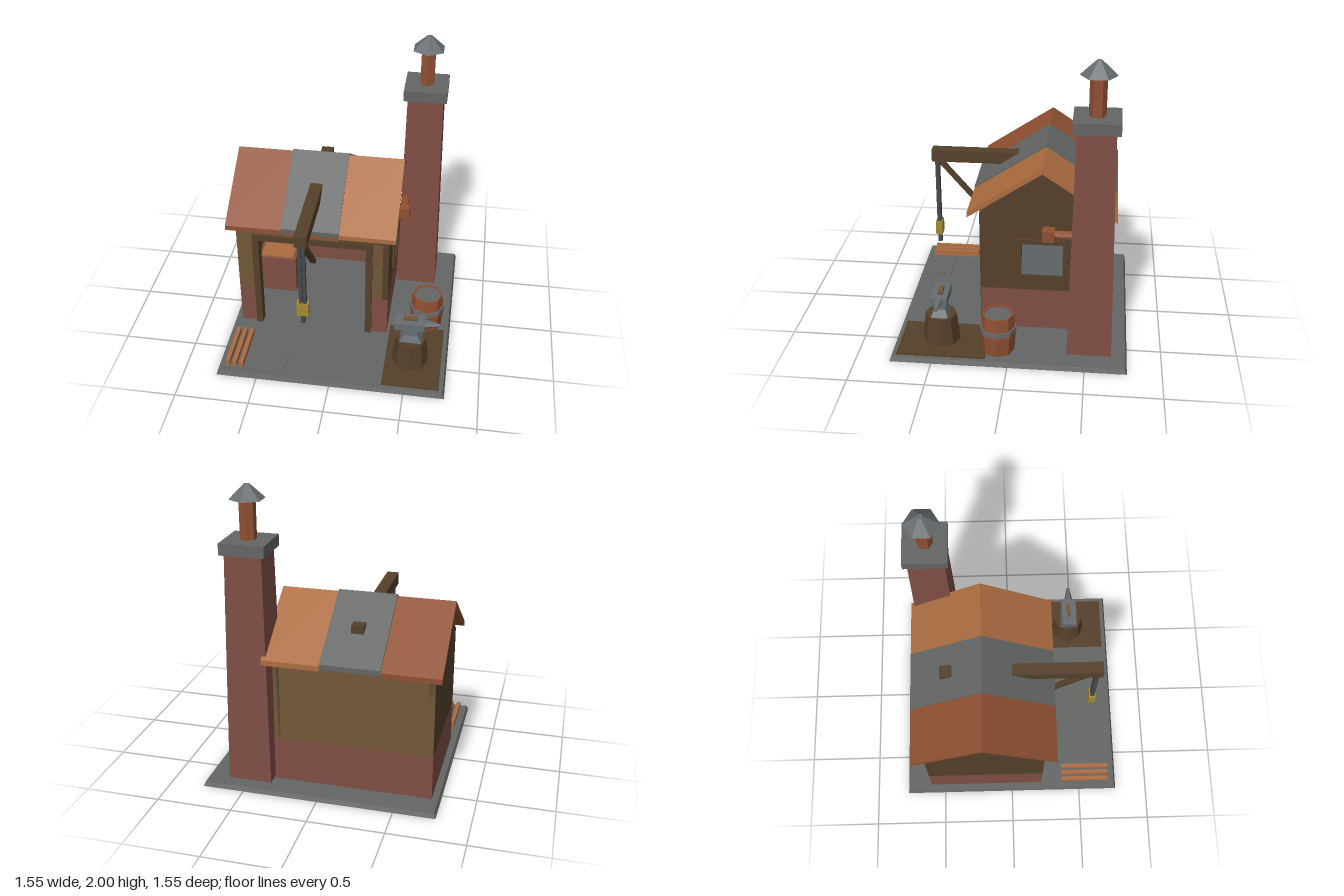
import * as THREE from 'three';

const mat = (name, color) => {
  const m = new THREE.MeshStandardMaterial({ color });
  m.name = name;
  return m;
};

export function createModel() {
  const root = new THREE.Group();
  root.name = 'smithy';
  const stone = mat('stone', 0x636664), brick = mat('brick', 0x7f4e45), plank = mat('plankWall', 0x735738),
    wood = mat('darkWood', 0x54402a), rust = mat('rust', 0x8f5032), copper = mat('copper', 0xab6c40),
    iron = mat('iron', 0x666d70), chainIron = mat('darkIron', 0x44494c), brass = mat('brass', 0xa38a33);

  const add = (name, geo, m) => {
    const mesh = new THREE.Mesh(geo, m);
    mesh.name = name;
    root.add(mesh);
    return mesh;
  };
  // box from its extents on each axis
  const box = (name, m, x0, x1, y0, y1, z0, z1) => {
    const b = add(name, new THREE.BoxGeometry(x1 - x0, y1 - y0, z1 - z0), m);
    b.position.set((x0 + x1) / 2, (y0 + y1) / 2, (z0 + z1) / 2);
    return b;
  };
  // faceted cylinder standing at x, z between y0 and y1
  const cyl = (name, m, rTop, rBottom, y0, y1, sides, x, z) => {
    const g = new THREE.CylinderGeometry(rTop, rBottom, y1 - y0, sides).toNonIndexed();
    g.computeVertexNormals();
    const c = add(name, g, m);
    c.position.set(x, (y0 + y1) / 2, z);
    return c;
  };
  // square tapered block, half sizes at the bottom and top
  const taper = (name, m, x, z, y0, y1, bx, bz, tx, tz) => {
    const g = new THREE.BoxGeometry(2, y1 - y0, 2).toNonIndexed();
    const p = g.attributes.position;
    for (let i = 0; i < p.count; i++) {
      const top = p.getY(i) > 0;
      p.setX(i, p.getX(i) * (top ? tx : bx));
      p.setZ(i, p.getZ(i) * (top ? tz : bz));
    }
    g.computeVertexNormals();
    const t = add(name, g, m);
    t.position.set(x, (y0 + y1) / 2, z);
    return t;
  };
  // profile of [z, y] points pushed along x
  const profile = (name, m, pts, x0, x1) => {
    const s = new THREE.Shape(pts.map(([z, y]) => new THREE.Vector2(-z, y)));
    const g = new THREE.ExtrudeGeometry(s, { depth: x1 - x0, bevelEnabled: false });
    g.rotateY(Math.PI / 2);
    const e = add(name, g, m);
    e.position.x = x0;
    return e;
  };

  // ground slab and mats
  taper('groundSlab', stone, 0, 0, 0, 0.03, 0.775, 0.775, 0.763, 0.763);
  box('workMat', wood, 0.35, 0.735, 0.03, 0.04, 0.15, 0.735);
  box('pavingSlab', stone, -0.74, -0.315, 0.03, 0.037, 0.54, 0.73);

  // brick footing and plank walls, open at the front
  const base = [0.03, 0.33], upper = [0.33, 0.89];
  for (const [part, m, [y0, y1]] of [['Footing', brick, base], ['Wall', plank, upper]]) {
    box('back' + part, m, -0.72, 0.33, y0, y1, -0.6, -0.56);
    box('frontLeft' + part, m, 0.2, 0.33, y0, y1, 0.18, 0.22);
    box('frontRight' + part, m, -0.72, -0.59, y0, y1, 0.18, 0.22);
  }
  box('header', plank, -0.59, 0.2, 0.78, 0.89, 0.18, 0.22);
  box('rustHeaderPatch', rust, -0.38, -0.01, 0.81, 0.89, 0.22, 0.228);
  box('woodHeaderPatch', wood, -0.01, 0.33, 0.81, 0.89, 0.22, 0.226);
  for (const [side, x0, x1] of [['right', -0.721, -0.68], ['left', 0.29, 0.331]]) {
    box(side + 'SideFooting', brick, x0, x1, 0.03, 0.33, -0.6, 0.22);
    profile(side + 'Gable', wood, [[0.22, 0.33], [-0.6, 0.33], [-0.6, 0.89], [-0.19, 1.2], [0.22, 0.89]], x0, x1);
  }

  // three patchwork roof panels
  const roof = (name, m, x0, x1, dy) => profile(name, m, [[0.3, 0.88 + dy], [0.3, 0.915 + dy], [-0.19, 1.24 + dy],
    [-0.68, 0.915 + dy], [-0.68, 0.88 + dy], [-0.19, 1.205 + dy]], x0, x1);
  roof('rustRoofPanel', rust, -0.77, -0.39, 0);
  roof('greyRoofPanel', stone, -0.39, 0, 0.013);
  roof('copperRoofPanel', copper, 0, 0.38, 0);

  // doorway frame
  box('framePostRight', wood, -0.61, -0.565, 0.03, 0.81, 0.17, 0.24);
  box('framePostLeft', wood, 0.175, 0.22, 0.03, 0.81, 0.17, 0.24);
  box('frameLintel', wood, -0.565, 0.175, 0.765, 0.81, 0.17, 0.24);

  // forge hearth inside
  box('hearth', brick, -0.67, -0.39, 0.03, 0.325, -0.37, -0.13);
  box('embers', copper, -0.65, -0.41, 0.325, 0.338, -0.35, -0.15);

  // workbench with vise, tool board with hanging tools
  box('benchTop', plank, -0.57, 0.15, 0.335, 0.38, -0.56, -0.38);
  for (const x of [-0.57, 0.115])
    for (const z of [-0.54, -0.415]) box('benchLeg', wood, x, x + 0.035, 0.03, 0.335, z, z + 0.03);
  box('vise', iron, 0, 0.11, 0.38, 0.465, -0.5, -0.42);
  box('toolBoard', wood, -0.51, 0.07, 0.47, 0.74, -0.56, -0.54);
  [[-0.43, 0.51, 0.68], [-0.275, 0.56, 0.69], [-0.14, 0.56, 0.69], [-0.005, 0.56, 0.68]].forEach(([x, y0, y1]) =>
    box('hangingTool', iron, x - 0.018, x + 0.018, y0, y1, -0.54, -0.525));

  // hoist beam, brace, chain and hook
  box('hoistBeam', wood, -0.235, -0.152, 1.035, 1.12, -0.47, 0.62);
  profile('hoistBrace', wood, [[0.595, 1.04], [0.555, 1.04], [0.18, 0.6], [0.215, 0.595]], -0.21, -0.175);
  for (const x of [-0.207, -0.181]) box('chainStrand', chainIron, x - 0.011, x + 0.011, 0.56, 1.035, 0.573, 0.6);
  box('pulleyBlock', brass, -0.235, -0.155, 0.46, 0.56, 0.563, 0.61);
  box('hook', chainIron, -0.208, -0.18, 0.39, 0.46, 0.573, 0.6);

  // chimney with cap, flue and rain hood
  taper('chimney', brick, 0.485, -0.525, 0.03, 1.58, 0.146, 0.146, 0.12, 0.12);
  box('chimneyCap', stone, 0.338, 0.63, 1.58, 1.655, -0.672, -0.38);
  cyl('flue', rust, 0.053, 0.053, 1.655, 1.91, 6, 0.485, -0.525);
  cyl('rainHood', iron, 0.018, 0.115, 1.908, 2, 6, 0.485, -0.525);

  // side pipe into the chimney
  box('pipeElbow', rust, 0.345, 0.425, 0.745, 0.82, -0.275, -0.195);
  const pipe = cyl('sidePipe', rust, 0.03, 0.03, 0, 0.14, 8, 0.385, 0);
  pipe.rotation.x = Math.PI / 2;
  pipe.position.set(0.385, 0.783, -0.335);

  // window in the left gable
  box('windowFrameTop', wood, 0.33, 0.352, 0.685, 0.716, -0.36, -0.028);
  box('windowFrameSill', wood, 0.33, 0.352, 0.42, 0.452, -0.36, -0.028);
  box('windowFrameBack', wood, 0.33, 0.352, 0.452, 0.685, -0.36, -0.33);
  box('windowFrameFront', wood, 0.33, 0.352, 0.452, 0.685, -0.057, -0.028);
  box('windowPane', iron, 0.33, 0.338, 0.452, 0.685, -0.33, -0.057);

  // barrel with hoop, raised rim and lid
  const stave = [[0, -0.001], [0.105, -0.001], [0.118, 0.16], [0.106, 0.303], [0.093, 0.303], [0.093, 0.285]];
  const staves = new THREE.LatheGeometry(stave.map(([r, y]) => new THREE.Vector2(r, y)), 8).toNonIndexed();
  staves.computeVertexNormals();
  add('barrel', staves, rust).position.set(0.6, 0, 0.075);
  cyl('barrelHoop', iron, 0.123, 0.123, 0.18, 0.212, 8, 0.6, 0.075);
  cyl('barrelLid', stone, 0.094, 0.094, 0.28, 0.293, 8, 0.6, 0.075);

  // stump and anvil
  cyl('stump', wood, 0.105, 0.125, 0.04, 0.235, 8, 0.52, 0.465);
  taper('anvilFoot', iron, 0.52, 0.465, 0.235, 0.285, 0.075, 0.057, 0.045, 0.037);
  box('anvilWaist', iron, 0.475, 0.565, 0.285, 0.34, 0.428, 0.502);
  box('anvilFace', iron, 0.405, 0.61, 0.338, 0.392, 0.41, 0.518);
  const horn = cyl('anvilHorn', iron, 0.01, 0.034, 0, 0.105, 6, 0, 0);
  horn.rotation.z = -Math.PI / 2;
  horn.position.set(0.658, 0.367, 0.465);
  box('workpiece', plank, 0.465, 0.56, 0.392, 0.412, 0.447, 0.477);

  // loose planks
  for (const x of [-0.72, -0.672, -0.625]) box('loosePlank', copper, x, x + 0.026, 0.037, 0.08, 0.37, 0.715);

  return root;
}
